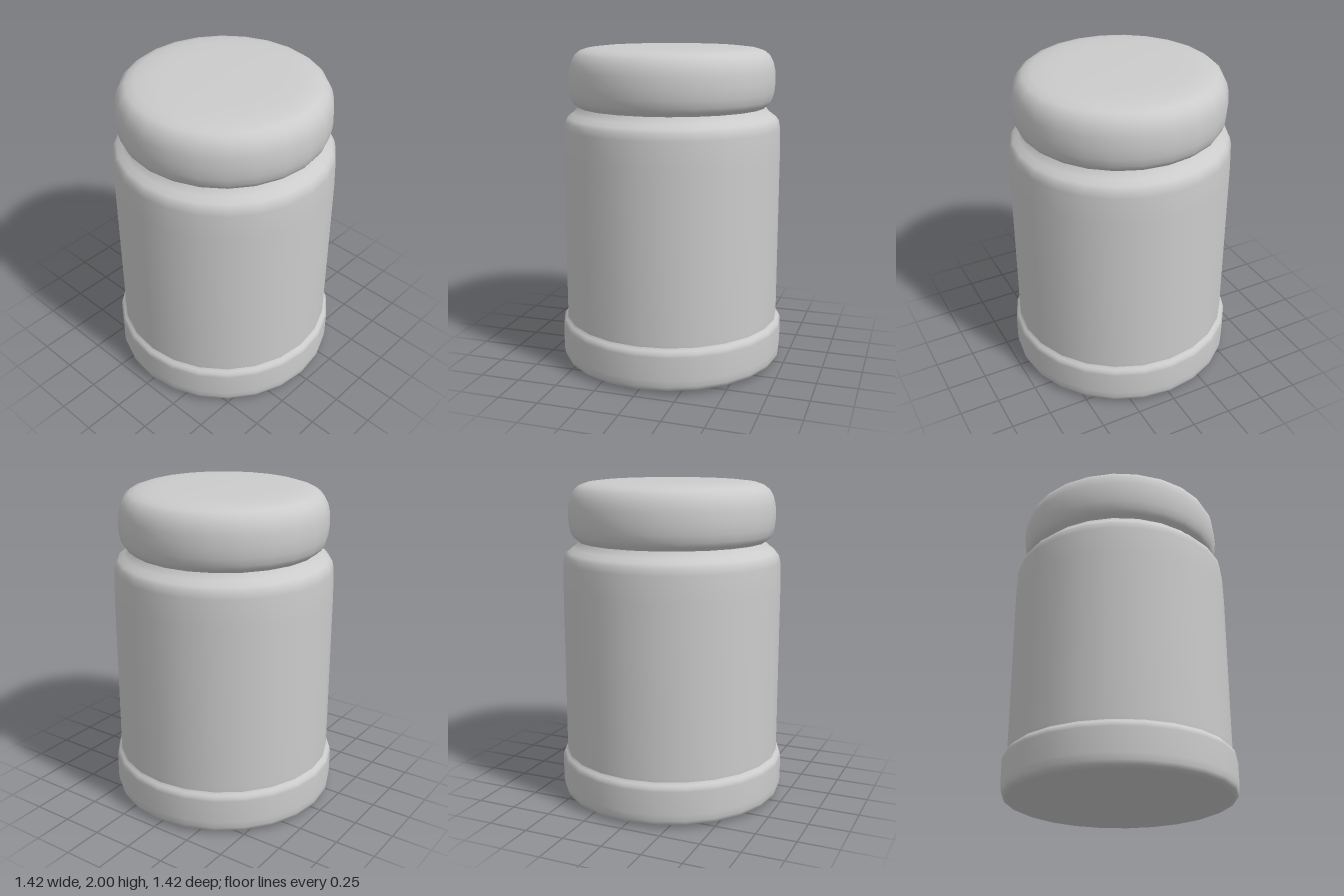
import * as THREE from 'three';

const SIDES = 24;
const material = new THREE.MeshStandardMaterial({ color: 0xcccccc });

// Turned part from [radius, height] pairs, listed from bottom to top
function turned(name, profile) {
  const points = profile.map(([r, y]) => new THREE.Vector2(r, y));
  const mesh = new THREE.Mesh(new THREE.LatheGeometry(points, SIDES), material);
  mesh.name = name;
  return mesh;
}

export function createModel() {
  const jar = new THREE.Group();
  jar.name = 'jar';

  // Wide foot with rounded lower edge and a small ledge on top
  jar.add(turned('base', [
    [0, 0], [0.4, 0.003], [0.6, 0.008], [0.67, 0.013], [0.698, 0.025], [0.708, 0.05],
    [0.711, 0.09], [0.711, 0.235], [0.707, 0.255], [0.695, 0.27], [0.682, 0.28], [0.676, 0.3],
  ]));

  // Straight wall, rounded shoulder and narrow neck
  jar.add(turned('body', [
    [0.68, 0.27], [0.682, 0.31], [0.682, 0.65], [0.682, 1.33], [0.677, 1.5], [0.668, 1.542],
    [0.65, 1.565], [0.615, 1.59], [0.595, 1.61], [0.583, 1.63],
  ]));

  // Pillow-shaped lid
  jar.add(turned('lid', [
    [0.58, 1.62], [0.59, 1.634], [0.61, 1.648], [0.627, 1.675], [0.638, 1.72], [0.643, 1.78],
    [0.639, 1.85], [0.627, 1.9], [0.604, 1.943], [0.572, 1.968], [0.52, 1.985], [0.43, 1.995],
    [0.3, 1.999], [0, 2],
  ]));

  return jar;
}
